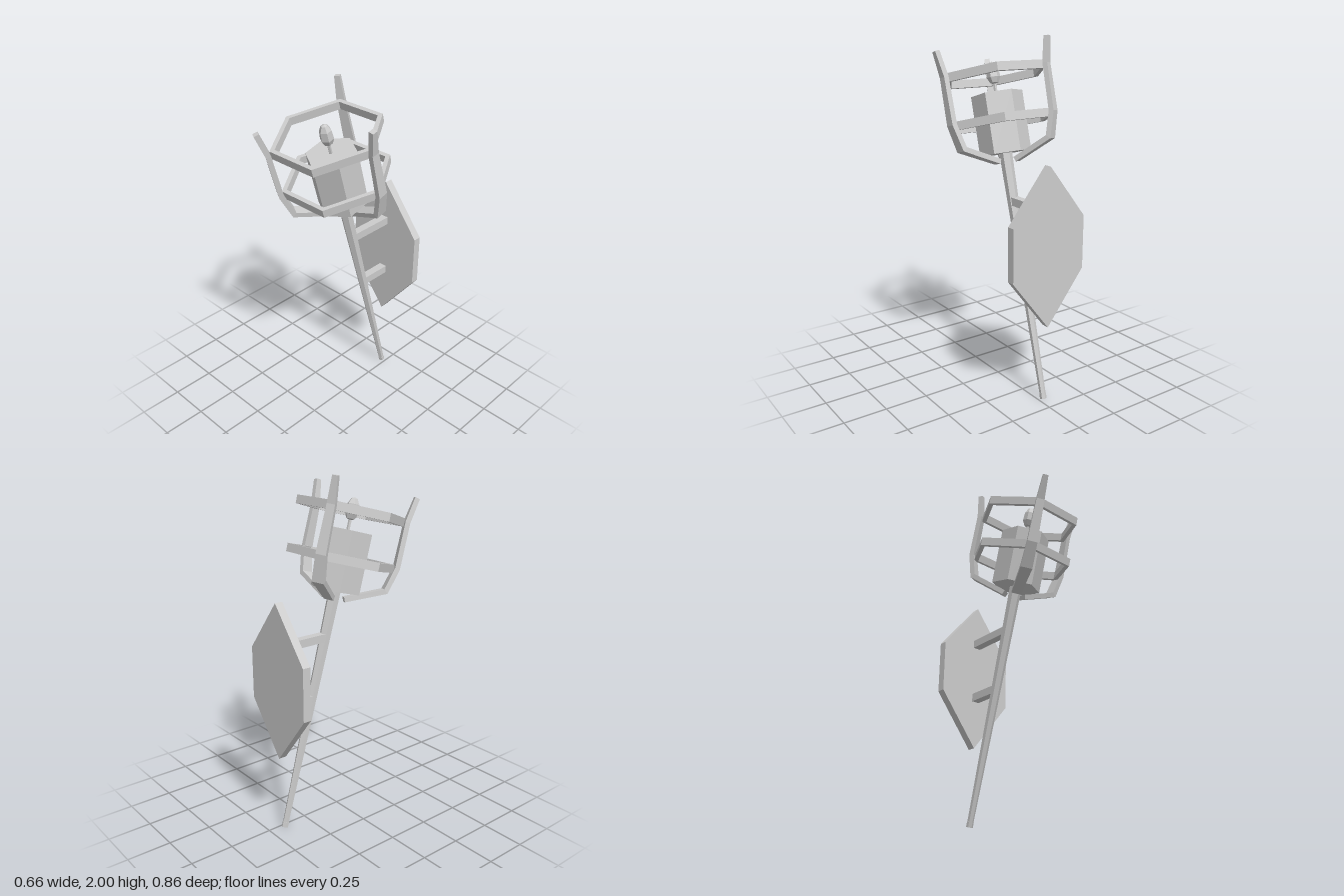
import * as THREE from 'three';

const TILT = 0.27; // lean of the torch away from the wall, radians
const CX = -0.028;
const material = new THREE.MeshStandardMaterial({ color: 0xcccccc, flatShading: true });

function add(parent, name, geometry, x = 0, y = 0, z = 0) {
  const mesh = new THREE.Mesh(geometry, material);
  mesh.name = name;
  mesh.position.set(x, y, z);
  parent.add(mesh);
  return mesh;
}

// Hexagonal band with corners on +-x
function ringGeometry(outer, inner, height) {
  const corners = (r) => Array.from({ length: 6 }, (_, i) =>
    new THREE.Vector2(r * Math.cos(i * Math.PI / 3), r * Math.sin(i * Math.PI / 3)));
  const shape = new THREE.Shape(corners(outer));
  shape.holes.push(new THREE.Path(corners(inner)));
  return new THREE.ExtrudeGeometry(shape, { depth: height, bevelEnabled: false })
    .translate(0, 0, -height / 2).rotateX(-Math.PI / 2);
}

// Bent bar along a path of [radius, height, width], with a rectangular section
function armGeometry(path, thickness) {
  const pos = [], index = [];
  const pts = path.map(([r, u]) => new THREE.Vector2(r, u));
  path.forEach(([r, u, w], i) => {
    const a = pts[Math.max(i - 1, 0)], b = pts[i], c = pts[Math.min(i + 1, pts.length - 1)];
    const d1 = i > 0 ? b.clone().sub(a).normalize() : c.clone().sub(b).normalize();
    const d2 = i < pts.length - 1 ? c.clone().sub(b).normalize() : d1;
    const d = d1.clone().add(d2).normalize();
    const t = thickness / 2 / d.dot(d1); // mitred corner
    const nx = d.y * t, ny = -d.x * t;   // outward side of the path
    pos.push(r + nx, u + ny, w / 2, r + nx, u + ny, -w / 2,
      r - nx, u - ny, -w / 2, r - nx, u - ny, w / 2);
  });
  for (let i = 0; i < path.length - 1; i++) {
    for (let k = 0; k < 4; k++) {
      const a = i * 4 + k, b = i * 4 + (k + 1) % 4;
      index.push(a, b, b + 4, a, b + 4, a + 4);
    }
  }
  const e = (path.length - 1) * 4;
  index.push(0, 2, 1, 0, 3, 2, e, e + 1, e + 2, e, e + 2, e + 3);
  const g = new THREE.BufferGeometry();
  g.setAttribute('position', new THREE.Float32BufferAttribute(pos, 3));
  g.setIndex(index);
  const flat = g.toNonIndexed();
  flat.computeVertexNormals();
  return flat;
}

export function createModel() {
  const model = new THREE.Group();
  model.name = 'wallTorch';

  // Leaning torch
  const torch = new THREE.Group();
  torch.name = 'torch';
  torch.position.set(CX, 0.005, -0.41);
  torch.rotation.x = TILT;
  model.add(torch);

  add(torch, 'shaft', new THREE.CylinderGeometry(0.036, 0.017, 1.41, 6), 0, 0.705, 0);
  add(torch, 'shaftTip', new THREE.CylinderGeometry(0.019, 0.019, 0.03, 6), 0, 0.015, 0);
  add(torch, 'core', new THREE.CylinderGeometry(0.144, 0.144, 0.333, 6), 0, 1.567, 0);

  // Wick and its lumpy head
  add(torch, 'wick', new THREE.CylinderGeometry(0.01, 0.01, 0.08, 5), 0, 1.765, 0.005);
  const head = [[0, 1.785], [0.024, 1.795], [0.038, 1.825], [0.034, 1.875], [0.018, 1.905], [0, 1.912]];
  add(torch, 'wickHead', new THREE.LatheGeometry(head.map(([r, y]) => new THREE.Vector2(r, y)), 6), 0, 0, 0.005);

  // Cage: two rings held by three arms
  for (const [name, y] of [['lowerRing', 1.577], ['upperRing', 1.837]]) {
    add(torch, name, ringGeometry(0.305, 0.277, 0.046), 0, y, 0);
  }
  const arm = armGeometry([
    [0.06, 1.358, 0.056], [0.278, 1.447, 0.068], [0.316, 1.583, 0.058],
    [0.318, 1.84, 0.046], [0.344, 1.98, 0.03],
  ], 0.028);
  for (let i = 0; i < 3; i++) {
    add(torch, 'cageArm' + (i + 1), arm).rotation.y = i * Math.PI * 2 / 3;
  }

  // Wall plate
  const w = 0.235;
  const outline = [[0, 0.45], [w, 0.75], [w, 1.05], [0, 1.347], [-w, 1.05], [-w, 0.75]];
  const plate = new THREE.Shape(outline.map(([x, y]) => new THREE.Vector2(x, y)));
  add(model, 'wallPlate',
    new THREE.ExtrudeGeometry(plate, { depth: 0.047, bevelEnabled: false }), CX, 0, -0.437);

  // Brackets from the plate to the shaft
  for (const [name, y, front] of [['upperBracket', 1.098, -0.115], ['lowerBracket', 0.753, -0.21]]) {
    const length = front + 0.4;
    add(model, name, new THREE.BoxGeometry(0.047, 0.046, length), CX, y, front - length / 2);
  }
  return model;
}
